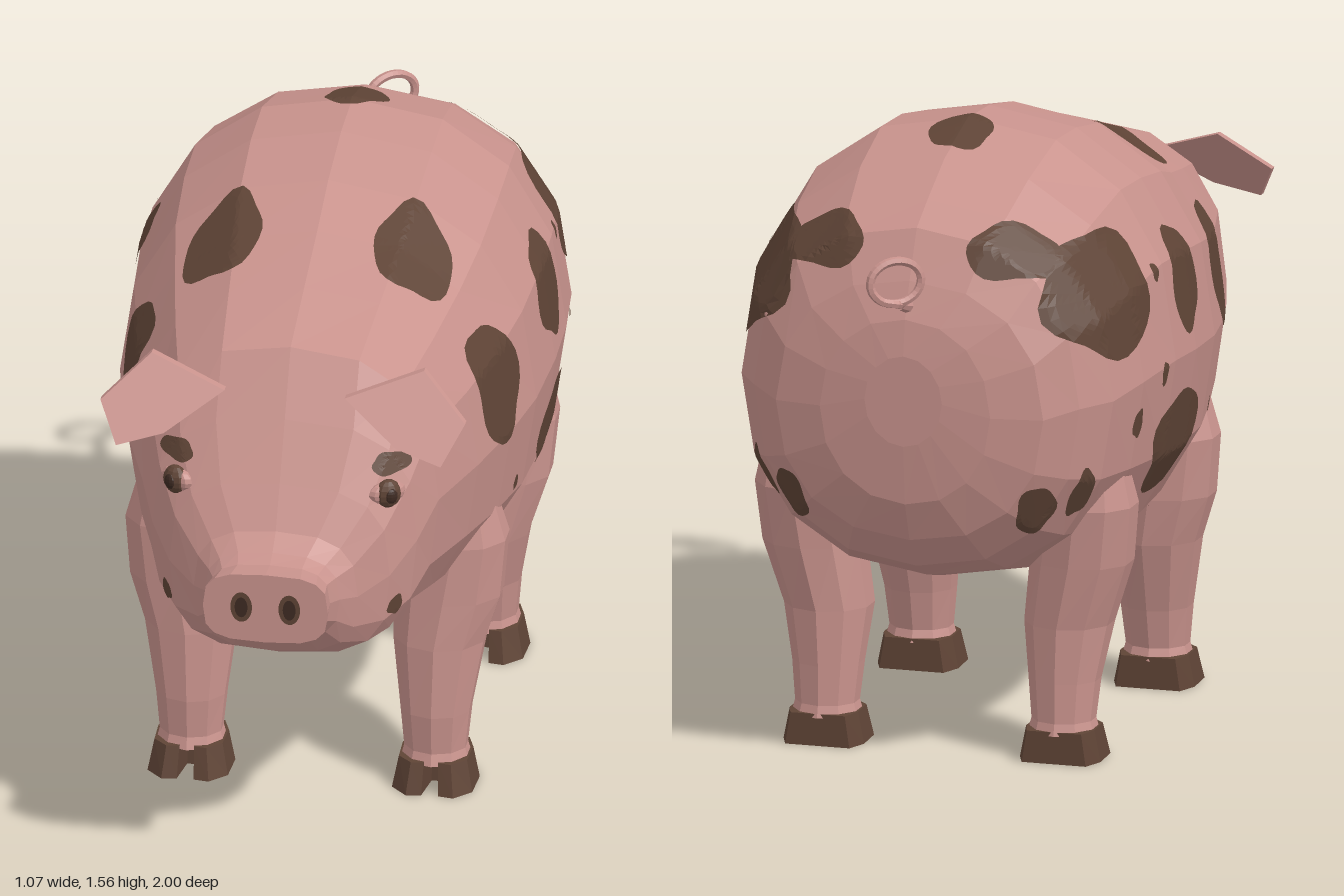
import * as THREE from 'three';

const material = (name, color) => {
  const m = new THREE.MeshStandardMaterial({ color });
  m.name = name;
  return m;
};
const V = (x, y, z) => new THREE.Vector3(x, y, z);

// Flat-shaded copy of a geometry
function facet(geo) {
  const g = geo.index ? geo.toNonIndexed() : geo;
  g.computeVertexNormals();
  return g;
}

// Skin over closed rings of points, capped at both ends
function loft(rings) {
  const n = rings[0].length, pos = [], idx = [];
  rings.forEach(r => r.forEach(p => pos.push(p.x, p.y, p.z)));
  for (let i = 0; i < rings.length - 1; i++) {
    for (let j = 0; j < n; j++) {
      const k = (j + 1) % n, a = i * n + j, b = i * n + k;
      idx.push(a, b, b + n, a, b + n, a + n);
    }
  }
  [0, rings.length - 1].forEach(i => {
    const c = rings[i].reduce((s, p) => s.add(p), V(0, 0, 0)).divideScalar(n);
    const ci = pos.length / 3;
    pos.push(c.x, c.y, c.z);
    for (let j = 0; j < n; j++) {
      const a = i * n + j, b = i * n + (j + 1) % n;
      if (i) idx.push(ci, a, b); else idx.push(ci, b, a);
    }
  });
  const g = new THREE.BufferGeometry();
  g.setAttribute('position', new THREE.Float32BufferAttribute(pos, 3));
  g.setIndex(idx);
  return facet(g);
}

export function createModel() {
  const pig = new THREE.Group();
  pig.name = 'pig';
  const pink = material('pink skin', 0xc9938d);
  const brown = material('brown', 0x5f4436);
  const dark = material('dark brown', 0x3d2a22);
  const add = (name, geo, mat) => {
    const m = new THREE.Mesh(geo, mat);
    m.name = name;
    pig.add(m);
    return m;
  };

  // Body, head and snout: z, top, bottom, half width, roundness
  const bodyRings = [
    [-0.883, 1.08, 0.85, 0.1, 1], [-0.868, 1.17, 0.7, 0.22, 0.95], [-0.83, 1.26, 0.6, 0.345, 0.9],
    [-0.77, 1.38, 0.52, 0.42, 0.9], [-0.68, 1.43, 0.475, 0.48, 0.9], [-0.54, 1.5, 0.44, 0.515, 0.9],
    [-0.34, 1.555, 0.4, 0.535, 0.9], [-0.17, 1.545, 0.385, 0.535, 0.9], [0.03, 1.505, 0.395, 0.52, 0.9],
    [0.2, 1.445, 0.43, 0.485, 0.9], [0.4, 1.385, 0.485, 0.435, 0.87], [0.61, 1.32, 0.545, 0.37, 0.8],
    [0.7, 1.165, 0.555, 0.33, 0.68], [0.78, 1.025, 0.57, 0.275, 0.65], [0.84, 0.925, 0.6, 0.205, 0.7],
    [0.89, 0.89, 0.66, 0.168, 0.7], [0.93, 0.875, 0.69, 0.15, 0.65], [1.0, 0.88, 0.697, 0.156, 0.6],
  ];
  const soft = (v, e) => Math.sign(v) * Math.pow(Math.abs(v), e);
  const body = add('body', loft(bodyRings.map(([z, top, bottom, w, e]) =>
    Array.from({ length: 16 }, (_, j) => {
      const a = j / 16 * Math.PI * 2;
      return V(w * soft(Math.cos(a), e), (top + bottom) / 2 + (top - bottom) / 2 * soft(Math.sin(a), e), z);
    }))), pink);

  // Finds the skin below a point, looking against direction n
  const ray = new THREE.Raycaster();
  body.updateMatrixWorld();
  function hitSkin(p, n) {
    ray.set(p.clone().addScaledVector(n, 2), n.clone().negate());
    return ray.intersectObject(body)[0];
  }

  // Thin irregular patch that follows the skin
  function patch(name, mat, side, [px, py, pz], [nx, ny, nz], ru, rv, seed = 0, lift = 0.005) {
    const n = V(nx * side, ny, nz).normalize(), p = V(px * side, py, pz);
    const up = Math.abs(n.y) > 0.9 ? V(0, 0, -1) : V(0, 1, 0);
    const u = up.cross(n).normalize(), v = n.clone().cross(u);
    const R = Math.max(2, Math.ceil(Math.max(ru, rv) / 0.02)), S = 28, pos = [], idx = [];
    for (let i = 0; i <= R; i++) {
      for (let j = 0; j < S; j++) {
        const a = j / S * Math.PI * 2, b = side > 0 ? a : Math.PI - a;
        const wob = seed ? 1 + 0.07 * Math.sin(3 * b + seed) + 0.05 * Math.sin(5 * b + 2 * seed) : 1;
        let hit, f = i / R * wob;
        for (let t = 0; t < 20 && !hit; t++, f *= 0.93) {
          hit = hitSkin(p.clone().addScaledVector(u, Math.cos(a) * ru * f)
            .addScaledVector(v, Math.sin(a) * rv * f), n);
        }
        const q = hit ? hit.point.clone().addScaledVector(hit.face.normal, lift) : p;
        pos.push(q.x, q.y, q.z);
        if (i < R) {
          const k = (j + 1) % S, c = i * S + j, d = i * S + k;
          idx.push(c, c + S, d + S);
          if (i) idx.push(c, d + S, d);
        }
      }
    }
    const g = new THREE.BufferGeometry();
    g.setAttribute('position', new THREE.Float32BufferAttribute(pos, 3));
    g.setIndex(idx);
    add(name, facet(g), mat);
  }

  // Spots on each flank: point, facing, radii
  const X = [1, 0, 0], Y = [0, 1, 0], Z = [0, 0, 1];
  const spots = [
    [[0.45, 1.08, 0.235], X, 0.118, 0.15], [[0.235, 1.4, 0.18], Y, 0.095, 0.14],
    [[0.5, 1.15, -0.195], X, 0.1, 0.13], [[0.5, 0.755, -0.25], X, 0.17, 0.13],
    [[0.47, 1.21, -0.64], [0.85, 0.15, -0.5], 0.19, 0.155],
    [[0.26, 1.36, -0.78], [0.3, 0.6, -0.75], 0.12, 0.08],
    [[0.5, 1.21, -0.39], X, 0.016, 0.022], [[0.5, 0.96, -0.41], X, 0.018, 0.03],
    [[0.5, 0.865, -0.545], X, 0.024, 0.036], [[0.44, 0.72, -0.73], [0.9, -0.1, -0.4], 0.033, 0.065],
    [[0.34, 0.69, -0.82], [0.7, -0.1, -0.7], 0.05, 0.065], [[0.38, 0.49, -0.1], [0.7, -0.7, 0], 0.022, 0.045],
    [[0.45, 0.755, 0.105], X, 0.014, 0.02], [[0.29, 0.71, 0.755], X, 0.024, 0.025],
  ];

  // Legs: y, x, z, x radius, z radius
  const legs = {
    frontLeg: [[0.07, 0.305, 0.25, 0.088, 0.085], [0.1, 0.305, 0.25, 0.08, 0.075], [0.2, 0.305, 0.243, 0.09, 0.09],
      [0.38, 0.31, 0.212, 0.118, 0.115], [0.5, 0.33, 0.2, 0.138, 0.117], [0.65, 0.355, 0.195, 0.125, 0.113],
      [0.82, 0.36, 0.2, 0.07, 0.07]],
    backLeg: [[0.07, 0.305, -0.53, 0.088, 0.088], [0.1, 0.305, -0.53, 0.08, 0.08], [0.2, 0.305, -0.52, 0.09, 0.09],
      [0.34, 0.31, -0.497, 0.112, 0.115], [0.5, 0.345, -0.507, 0.13, 0.12], [0.65, 0.365, -0.52, 0.125, 0.122],
      [0.82, 0.38, -0.53, 0.07, 0.07]],
  };

  // Cloven hoof with a notch in front, flared towards the ground
  const half = [[0.07, -0.083], [0.088, -0.03], [0.085, 0.05], [0.05, 0.085], [0.018, 0.08], [0.008, 0.01]];
  const outline = [...half, ...half.map(([x, f]) => [-x, f]).reverse()];
  const hoof = new THREE.ExtrudeGeometry(new THREE.Shape(outline.map(([x, f]) => new THREE.Vector2(x, -f))),
    { depth: 0.08, bevelEnabled: false });
  hoof.rotateX(-Math.PI / 2);
  const hp = hoof.attributes.position;
  for (let i = 0; i < hp.count; i++) {
    if (hp.getY(i) < 0.01) hp.setXYZ(i, hp.getX(i) * 1.18, 0, hp.getZ(i) * (hp.getZ(i) > 0 ? 1.27 : 1.03));
  }
  hoof.computeVertexNormals();

  for (const s of [1, -1]) {
    const label = s > 0 ? 'left' : 'right';
    spots.forEach(([p, n, ru, rv], i) => patch(label + ' spot', brown, s, p, n, ru, rv, i * 1.7 + 1));

    for (const [name, rings] of Object.entries(legs)) {
      add(label + ' ' + name, loft(rings.map(([y, x, z, rx, rz]) =>
        Array.from({ length: 10 }, (_, j) => {
          const a = (j + 0.5) / 10 * Math.PI * 2;
          return V(s * x + rx * Math.cos(a), y, z - rz * Math.sin(a));
        }))), pink);
      add(label + ' ' + name + ' hoof', hoof, brown).position.set(s * 0.305, 0, rings[0][2]);
    }

    // Floppy ear, leaning forward as it hangs
    const ear = new THREE.ExtrudeGeometry(new THREE.Shape(
      [[0.15, 1.235], [0.29, 1.142], [0.405, 1.112], [0.455, 1.2], [0.34, 1.3]].map(([x, y]) => new THREE.Vector2(s * x, y))),
    { depth: 0.022, bevelEnabled: false });
    const ep = ear.attributes.position;
    for (let i = 0; i < ep.count; i++) ep.setZ(i, ep.getZ(i) + 0.63 + (1.3 - ep.getY(i)) * 0.8);
    ear.computeVertexNormals();
    add(label + ' ear', ear, pink);

    // Eye with lid and pupil, brow mark, nostril
    const at = hitSkin(V(s * 0.262, 1.005, 0), V(0, 0, 1)).point;
    const ball = (name, mat, rx, ry, rz, out) => {
      const m = add(name, facet(new THREE.SphereGeometry(1, 10, 8)), mat);
      m.scale.set(rx, ry, rz);
      m.rotation.y = s * 0.6;
      m.position.copy(at).add(V(s * out * 0.55, 0, out * 0.8));
    };
    ball(label + ' eyelid', pink, 0.05, 0.03, 0.022, 0);
    ball(label + ' eye', brown, 0.034, 0.037, 0.026, 0.006);
    ball(label + ' pupil', dark, 0.017, 0.02, 0.01, 0.026);
    patch(label + ' brow', brown, s, [0.265, 1.07, 0.7], Z, 0.044, 0.026, 2);
    patch(label + ' nostril rim', brown, s, [0.06, 0.79, 1], Z, 0.027, 0.04, 0, 0.002);
    patch(label + ' nostril', dark, s, [0.06, 0.79, 1], Z, 0.016, 0.027, 0, 0.004);
  }
  patch('back spot', brown, 1, [0, 1.55, -0.4], Y, 0.078, 0.09, 1.5);

  // Curly tail
  const curl = [V(0, 1.2, -0.85), V(0, 1.213, -0.895)];
  for (let i = 0; i <= 10; i++) {
    const a = -Math.PI / 2 + i / 10 * Math.PI * 2.1, r = 0.055;
    curl.push(V(r * Math.cos(a) + 0.012 * (i / 10 - 0.5), 1.283 + r * Math.sin(a), -0.945 - 0.8 * r * Math.cos(a)));
  }
  add('tail curl', facet(new THREE.TubeGeometry(new THREE.CatmullRomCurve3(curl), 40, 0.011, 6)), pink);
  const root = add('tail root', facet(new THREE.CylinderGeometry(0.013, 0.019, 0.07, 8)), pink);
  root.position.set(0, 1.208, -0.875);
  root.rotation.x = -1.3;
  return pig;
}
